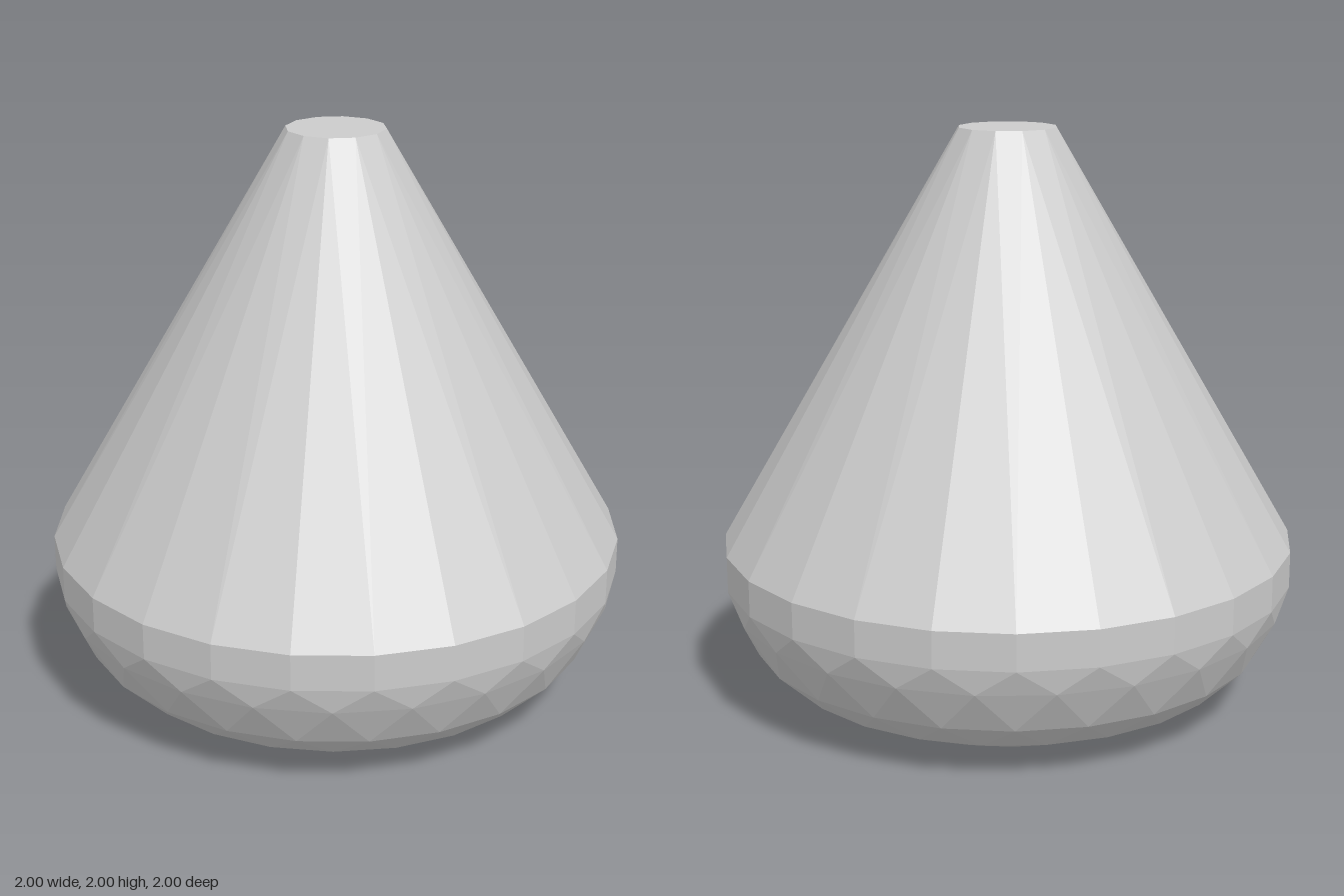
import * as THREE from 'three';
import { ConvexGeometry } from 'three/addons/geometries/ConvexGeometry.js';

// Faceted cone on a rounded bowl: rings of [radius, height, sides, turn in steps]
const RINGS = [
  [0.575, 0, 24, 0],      // flat base
  [0.80, 0.105, 24, 0.5], // rounded belly, each ring staggered
  [0.90, 0.2, 24, 0],
  [0.975, 0.35, 24, 0.5],
  [1.0, 0.44, 24, 0],
  [1.0, 0.565, 24, 0],    // widest edge, where the cone starts
  [0.17, 2, 12, 0.5],     // flat tip
];

function ringPoints([radius, y, sides, turn]) {
  return Array.from({ length: sides }, (_, i) => {
    const a = ((i + turn) / sides) * Math.PI * 2;
    return new THREE.Vector3(Math.sin(a) * radius, y, Math.cos(a) * radius);
  });
}

export function createModel() {
  const group = new THREE.Group();
  group.name = 'roundedCone';
  // One closed, faceted skin stretched over all rings
  const material = new THREE.MeshStandardMaterial({ color: 0xcccccc, flatShading: true });
  const body = new THREE.Mesh(new ConvexGeometry(RINGS.flatMap(ringPoints)), material);
  body.name = 'coneBody';
  group.add(body);
  return group;
}
